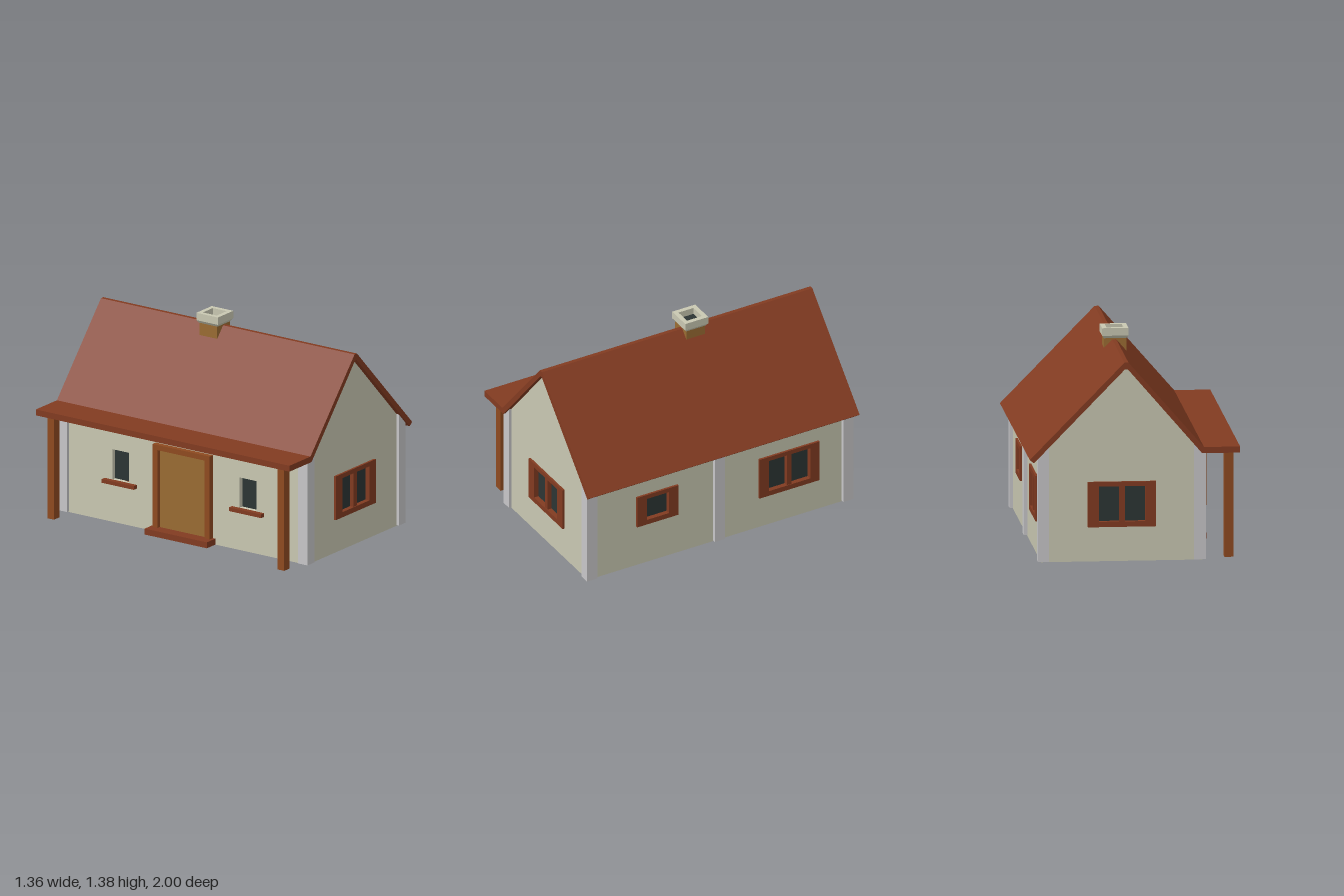
import * as THREE from 'three';

const mat = (name, color, side = THREE.FrontSide) => {
  const m = new THREE.MeshStandardMaterial({ color, side });
  m.name = name;
  return m;
};

export function createModel() {
  const wallMat = mat('cream plaster', 0xc9c8b2, THREE.DoubleSide);
  const redMat = mat('red brown tile and trim', 0x823b21);
  const postMat = mat('brown wood', 0x8f4a20);
  const goldMat = mat('ochre', 0x9a6c33);
  const glassMat = mat('dark glass', 0x2c3534);
  const pillarMat = mat('pale grey', 0xc8c7c9);

  const house = new THREE.Group();
  house.name = 'house';

  const add = (parent, name, geo, material, x = 0, y = 0, z = 0) => {
    const mesh = new THREE.Mesh(geo, material);
    mesh.name = name;
    mesh.position.set(x, y, z);
    parent.add(mesh);
    return mesh;
  };
  // box given by its minimum and maximum on each axis
  const box = (parent, name, material, x0, x1, y0, y1, z0, z1) =>
    add(parent, name, new THREE.BoxGeometry(x1 - x0, y1 - y0, z1 - z0), material,
      (x0 + x1) / 2, (y0 + y1) / 2, (z0 + z1) / 2);
  const poly = (pts) => new THREE.Shape(pts.map(([x, y]) => new THREE.Vector2(x, y)));
  const rect = ([x0, x1, y0, y1]) => poly([[x0, y0], [x1, y0], [x1, y1], [x0, y1]]);
  const extrude = (shape, depth) =>
    new THREE.ExtrudeGeometry(shape, { depth, bevelEnabled: false });
  const ring = (outer, inner, depth) => {
    const s = rect(outer);
    s.holes.push(rect(inner));
    return extrude(s, depth);
  };

  // flat wall with openings; its local +z is the outside
  const makeWall = (name, outline, holes, x, z, turn) => {
    const g = new THREE.Group();
    g.name = name;
    g.position.set(x, 0, z);
    g.rotation.y = turn;
    const s = poly(outline);
    holes.forEach((h) => s.holes.push(rect(h)));
    add(g, name + 'Plaster', new THREE.ShapeGeometry(s), wallMat);
    house.add(g);
    return g;
  };

  // wide wooden frame, recessed glass, optional centre bar
  const addWindow = (wall, outer, bar) => {
    const [x0, x1, y0, y1] = outer;
    const hole = [x0 + 0.07, x1 - 0.07, y0 + 0.035, y1 - 0.03];
    add(wall, 'windowFrame', ring(outer, hole, 0.045), redMat, 0, 0, -0.03);
    box(wall, 'windowGlass', glassMat, ...hole, -0.026, -0.018);
    const c = (x0 + x1) / 2;
    if (bar) box(wall, 'windowBar', redMat, c - 0.018, c + 0.018, hole[2], hole[3], -0.029, 0.01);
  };
  const inset = ([a, b, c, d]) => [a + 0.02, b - 0.02, c + 0.015, d - 0.015];

  // gable walls
  const gableOutline = [[-0.44, 0], [0.6, 0], [0.6, 0.72], [0.062, 1.272], [0.044, 1.272], [-0.44, 0.72]];
  const gableWindow = [-0.14, 0.3, 0.225, 0.52];
  const front = makeWall('frontGable', gableOutline, [inset(gableWindow)], 0, 0.967, 0);
  addWindow(front, gableWindow, true);
  const backWindow = [-0.3, 0.14, 0.225, 0.52];
  const back = makeWall('backGable', gableOutline.map(([x, y]) => [-x, y]).reverse(),
    [inset(backWindow)], 0, -0.967, Math.PI);
  addWindow(back, backWindow, true);

  // long wall with two framed windows
  const big = [0.295, 0.74, 0.225, 0.52];
  const small = [-0.61, -0.305, 0.295, 0.52];
  const sideOutline = [[-0.967, 0], [0.967, 0], [0.967, 0.72], [-0.967, 0.72]];
  const right = makeWall('rightWall', sideOutline, [inset(big), inset(small)], 0.6, 0, Math.PI / 2);
  addWindow(right, big, true);
  addWindow(right, small, false);

  // porch wall with door and two small recessed windows
  const slots = [-1, 1].map((s) => [s * 0.502 - 0.067, s * 0.502 + 0.067, 0.285, 0.49]);
  const porchWall = makeWall('porchWall', sideOutline, slots, -0.44, 0, -Math.PI / 2);
  for (const slot of slots) {
    const [a, b, c, d] = slot;
    add(porchWall, 'windowReveal', ring([a - 0.006, b + 0.006, c - 0.006, d + 0.006], slot, 0.04),
      wallMat, 0, 0, -0.042);
    box(porchWall, 'narrowGlass', glassMat, ...slot, -0.04, -0.032);
    box(porchWall, 'windowSill', redMat, a - 0.06, b + 0.06, 0.26, 0.285, -0.045, 0.033);
  }
  box(porchWall, 'door', goldMat, -0.185, 0.185, 0.005, 0.57, -0.012, 0.012);
  for (const s of [-1, 1])
    add(porchWall, 'doorPost', new THREE.BoxGeometry(0.04, 0.6, 0.06), postMat, s * 0.205, 0.3, 0.005);
  box(porchWall, 'doorLintel', postMat, -0.185, 0.185, 0.565, 0.6, -0.025, 0.035);

  // doorstep, hollow underneath
  const step = new THREE.Group();
  step.name = 'doorstep';
  house.add(step);
  box(step, 'stepTop', redMat, -0.535, -0.425, 0.032, 0.04, -0.245, 0.245);
  box(step, 'stepFront', redMat, -0.535, -0.525, 0, 0.032, -0.245, 0.245);
  box(step, 'stepBack', redMat, -0.435, -0.425, 0, 0.032, -0.245, 0.245);
  for (const s of [-1, 1])
    add(step, 'stepEnd', new THREE.BoxGeometry(0.09, 0.032, 0.01), redMat, -0.48, 0.016, s * 0.24);

  // pillars with tops cut to the roof slope
  const pillar = (x0, x1, y0, y1, z) =>
    add(house, 'wallPillar', extrude(poly([[x0, 0.005], [x1, 0.005], [x1, y1], [x0, y0]]), 0.075),
      pillarMat, 0, 0, z - 0.0375);
  for (const z of [-0.948, 0.948]) pillar(-0.46, -0.385, 0.71, 0.775, z);
  for (const z of [-0.948, 0.003, 0.948]) pillar(0.55, 0.622, 0.772, 0.699, z);

  // porch posts
  for (const z of [-0.908, 0.908])
    add(house, 'porchPost', new THREE.BoxGeometry(0.06, 0.7, 0.052), postMat, -0.615, 0.358, z);

  // roof slab with the flat porch canopy
  const roofProfile = poly([
    [-0.68, 0.70], [-0.435, 0.70], [0.045, 1.257], [0.062, 1.257], [0.65, 0.653],
    [0.677, 0.675], [0.066, 1.3], [0.04, 1.3], [-0.447, 0.74], [-0.68, 0.74],
  ]);
  add(house, 'roof', extrude(roofProfile, 2), redMat, 0, 0, -1);

  // chimney: shaft, flared collar and hollow cap
  const chimney = new THREE.Group();
  chimney.name = 'chimney';
  chimney.position.set(0.047, 0, -0.107);
  house.add(chimney);
  box(chimney, 'chimneyShaft', goldMat, -0.072, 0.072, 1.2, 1.31, -0.07, 0.07);
  const collar = new THREE.CylinderGeometry(0.085 * Math.SQRT2, 0.072 * Math.SQRT2, 0.018, 4, 1, false, Math.PI / 4)
    .toNonIndexed();
  collar.computeVertexNormals();
  add(chimney, 'chimneyCollar', collar, wallMat, 0, 1.317, 0);
  const cap = ring([-0.085, 0.085, -0.085, 0.085], [-0.055, 0.055, -0.055, 0.055], 0.05);
  cap.rotateX(-Math.PI / 2);
  add(chimney, 'chimneyCap', cap, wallMat, 0, 1.326, 0);
  box(chimney, 'flue', glassMat, -0.055, 0.055, 1.325, 1.331, -0.055, 0.055);

  return house;
}
